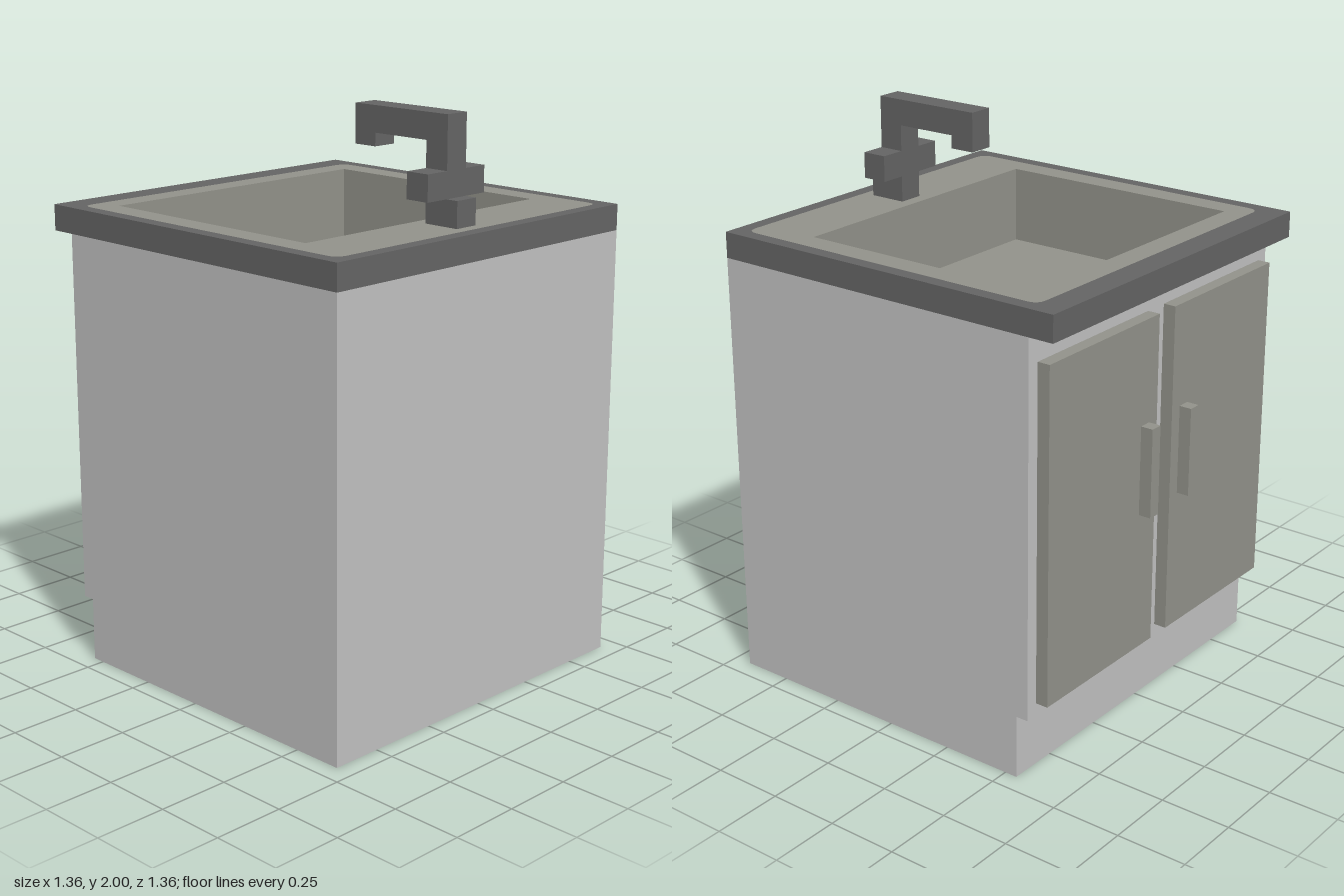
import * as THREE from 'three';

const U = 1 / 22; // building unit

function material(name, color) {
  const m = new THREE.MeshStandardMaterial({ color });
  m.name = name;
  return m;
}

// Rectangle outline in plan (x, z); corners cut by c
function outline(Type, x0, x1, z0, z1, c = 0) {
  const [l, r, b, t, k] = [x0, x1, -z1, -z0, c].map((v) => v * U);
  const s = new Type();
  s.moveTo(l + k, b);
  s.lineTo(r - k, b);
  if (k) s.quadraticCurveTo(r, b, r, b + k);
  s.lineTo(r, t - k);
  if (k) s.quadraticCurveTo(r, t, r - k, t);
  s.lineTo(l + k, t);
  if (k) s.quadraticCurveTo(l, t, l, t - k);
  s.lineTo(l, b + k);
  if (k) s.quadraticCurveTo(l, b, l + k, b);
  return s;
}

export function createModel() {
  const model = new THREE.Group();
  model.name = 'sinkCabinet';
  const pale = material('paleGrey', 0xc0c0c0);
  const warm = material('warmGrey', 0x92928a);
  const dark = material('darkGrey', 0x646464);

  const add = (parent, name, geometry, mat) => {
    const mesh = new THREE.Mesh(geometry, mat);
    mesh.name = name;
    parent.add(mesh);
    return mesh;
  };
  // Box given by its extents in units
  const box = (parent, name, mat, x0, x1, y0, y1, z0, z1) => {
    const g = new THREE.BoxGeometry((x1 - x0) * U, (y1 - y0) * U, (z1 - z0) * U);
    g.translate(((x0 + x1) / 2) * U, ((y0 + y1) / 2) * U, ((z0 + z1) / 2) * U);
    return add(parent, name, g, mat);
  };
  // Horizontal slab with an opening, from y0 to y1
  const frame = (parent, name, mat, outer, hole, y0, y1) => {
    const shape = outline(THREE.Shape, ...outer);
    shape.holes.push(outline(THREE.Path, ...hole));
    const g = new THREE.ExtrudeGeometry(shape, { depth: (y1 - y0) * U, bevelEnabled: false, curveSegments: 4 });
    g.rotateX(-Math.PI / 2);
    g.translate(0, y0 * U, 0);
    return add(parent, name, g, mat);
  };

  // Cabinet: recessed plinth, body, and an upper ring around the basin
  const cabinet = new THREE.Group();
  cabinet.name = 'cabinet';
  model.add(cabinet);
  box(cabinet, 'plinth', pale, -15, 15, 0, 5, -12, 15);
  box(cabinet, 'body', pale, -15, 15, 5, 28, -13, 15);
  frame(cabinet, 'upperBody', pale, [-15, 15, -13, 15], [-12.5, 12.5, -11.5, 9.5], 28, 34);

  // Worktop rim and the inset deck
  const inset = [-13.9, 13.9, -12.9, 13.9, 0.9];
  const opening = [-12, 12, -11, 9];
  frame(model, 'worktopRim', dark, [-15, 15, -15, 15], inset, 34, 36);
  frame(model, 'sinkDeck', warm, inset, opening, 34, 36);

  // Basin walls, floor and drain
  const basin = new THREE.Group();
  basin.name = 'basin';
  model.add(basin);
  frame(basin, 'basinWalls', warm, [-12.5, 12.5, -11.5, 9.5], opening, 28, 34);
  frame(basin, 'basinFloor', warm, opening, [-1, 1, 3, 5], 28, 30);
  box(basin, 'drainBottom', warm, -1, 1, 28, 28.1, 3, 5);

  // Two mirrored doors with handles
  for (const [side, s] of [['left', 1], ['right', -1]]) {
    const door = new THREE.Group();
    door.name = side + 'Door';
    model.add(door);
    const span = (a, b) => (s > 0 ? [a, b] : [-b, -a]);
    box(door, 'doorPanel', warm, ...span(1, 14), 6, 32, -14, -13);
    box(door, 'doorHandle', warm, ...span(2, 3), 17, 24, -15, -14);
  }

  // Tap
  const tap = new THREE.Group();
  tap.name = 'tap';
  model.add(tap);
  box(tap, 'tapBase', dark, -1, 1, 36, 38, 10, 13);
  box(tap, 'tapCrossHandle', dark, -3, 3, 38, 40, 10, 12);
  box(tap, 'tapColumn', dark, -1, 1, 40, 42, 10, 12);
  box(tap, 'tapSpout', dark, -1, 1, 42, 44, 3, 12);
  box(tap, 'tapNozzle', dark, -1, 1, 41, 42, 3, 5);

  return model;
}
